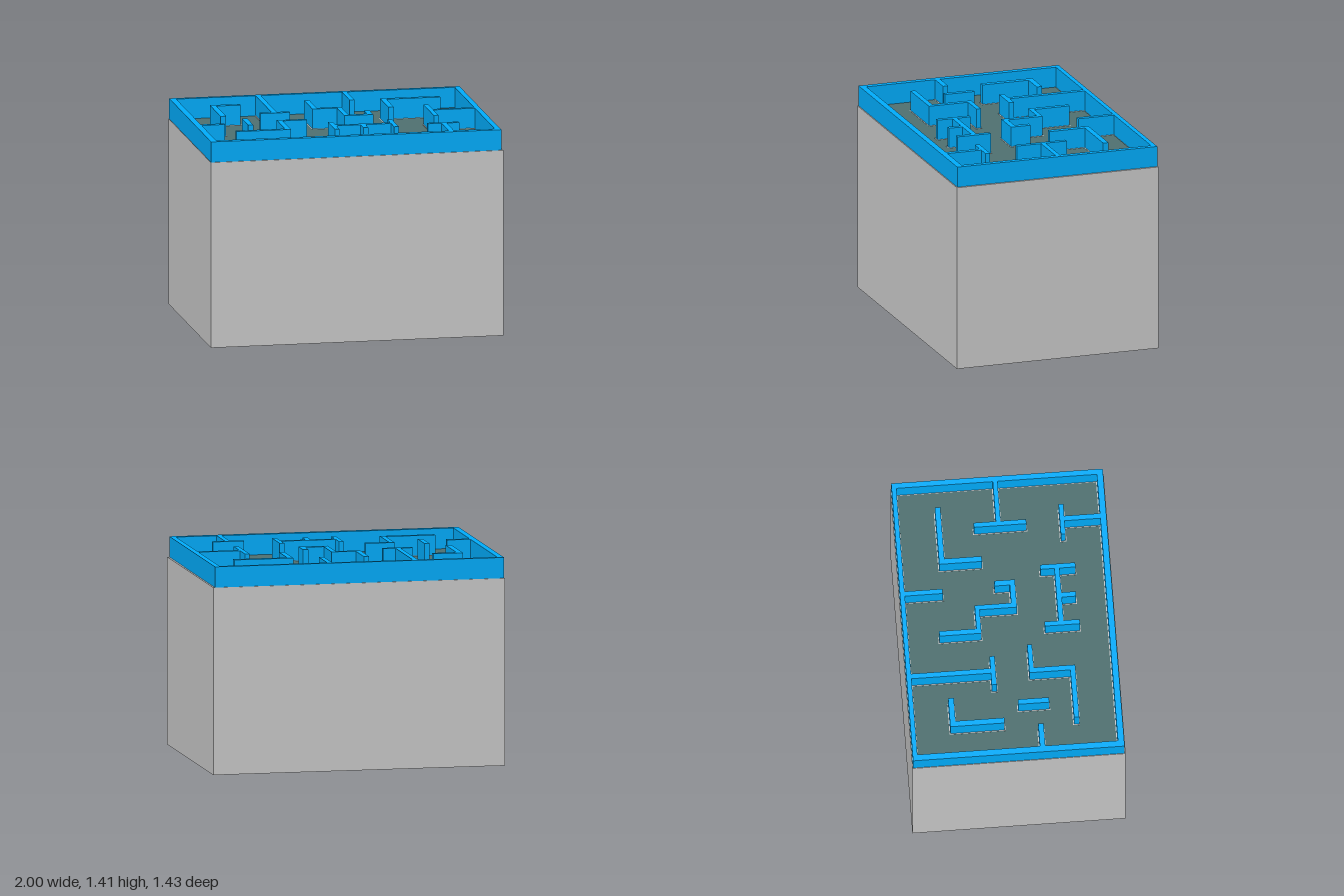
import * as THREE from 'three';

const grey = new THREE.MeshStandardMaterial({ color: 0xcccccc });
const blue = new THREE.MeshStandardMaterial({ color: 0x00afff });
const slate = new THREE.MeshStandardMaterial({ color: 0x507272 });

const BODY_TOP = 1.27, WALL_TOP = 1.41, GAP = 0.006;

function addMesh(parent, name, geometry, material) {
  const mesh = new THREE.Mesh(geometry, material);
  mesh.name = name;
  parent.add(mesh);
}

// Block spanning x0..x1, z0..z1 and y0..y1
function block(x0, x1, z0, z1, y0, y1) {
  return new THREE.BoxGeometry(x1 - x0, y1 - y0, z1 - z0)
    .translate((x0 + x1) / 2, (y0 + y1) / 2, (z0 + z1) / 2);
}

// Counter-clockwise outline, so that the hole's sides face inward
function rectangle(path, [x0, x1, z0, z1]) {
  return path.moveTo(x0, -z1).lineTo(x1, -z1).lineTo(x1, -z0).lineTo(x0, -z0).closePath();
}

// Upright rectangular tube
function frame(outer, inner, y0, y1) {
  const shape = rectangle(new THREE.Shape(), outer);
  shape.holes.push(rectangle(new THREE.Path(), inner));
  return new THREE.ExtrudeGeometry(shape, { depth: y1 - y0, bevelEnabled: false })
    .rotateX(-Math.PI / 2).translate(0, y0, 0);
}

// Maze walls in plan: x0, x1, z0, z1
const walls = {
  backLeftHook: [[-0.773, -0.735, -0.445, -0.08], [-0.735, -0.57, -0.445, -0.407]],
  backLongTee: [[-0.412, -0.377, -0.68, -0.146], [-0.495, -0.292, -0.146, -0.112]],
  backStub: [[0.179, 0.212, -0.68, -0.425]],
  centreZigzag: [
    [-0.123, -0.088, -0.47, -0.219], [-0.123, 0.078, -0.219, -0.187],
    [0.045, 0.078, -0.187, 0.027], [0.045, 0.243, 0.027, 0.064], [0.206, 0.243, -0.075, 0.027],
  ],
  backRightHook: [[0.388, 0.425, -0.433, -0.146], [0.425, 0.794, -0.433, -0.396]],
  sideTee: [[0.634, 0.666, -0.182, 0.171], [0.666, 0.95, -0.032, 0]],
  sideStub: [[-0.955, -0.794, 0.144, 0.18]],
  freeWall: [[-0.647, -0.612, 0.021, 0.23]],
  frontZigzag: [
    [-0.428, -0.227, 0.112, 0.144], [-0.428, -0.393, 0.144, 0.422], [-0.767, -0.428, 0.387, 0.422],
  ],
  frontFork: [
    [-0.104, -0.072, 0.24, 0.476], [0.302, 0.334, 0.24, 0.476],
    [-0.072, 0.302, 0.334, 0.369], [0.094, 0.128, 0.369, 0.465],
  ],
  frontTee: [[0.543, 0.757, 0.396, 0.428], [0.636, 0.671, 0.428, 0.67]],
};

export function createModel() {
  const model = new THREE.Group();
  model.name = 'mazeBox';

  // Hollow base, open underneath, with a lid
  addMesh(model, 'baseSides',
    frame([-1, 1, -0.717, 0.717], [-0.955, 0.955, -0.672, 0.672], 0, BODY_TOP), grey);
  addMesh(model, 'baseLid', block(-0.955, 0.955, -0.672, 0.672, BODY_TOP - 0.04, BODY_TOP), grey);

  // Maze floor, a hair short of the surrounding rim
  addMesh(model, 'mazeFloor',
    block(-0.955 + GAP, 0.95 - GAP, -0.68 + GAP, 0.668 - GAP, BODY_TOP, BODY_TOP + 0.003), slate);
  addMesh(model, 'mazeRim',
    frame([-0.997, 0.987, -0.712, 0.71], [-0.955, 0.95, -0.68, 0.668], BODY_TOP, WALL_TOP), blue);

  // Inner maze walls, each with a narrow pale border at its foot
  for (const [name, parts] of Object.entries(walls)) {
    const group = new THREE.Group();
    group.name = name;
    for (const [x0, x1, z0, z1] of parts) {
      addMesh(group, 'mazeWall', block(x0, x1, z0, z1, BODY_TOP, WALL_TOP), blue);
      addMesh(group, 'wallBorder',
        block(x0 - GAP, x1 + GAP, z0 - GAP, z1 + GAP, BODY_TOP, BODY_TOP + 0.005), grey);
    }
    model.add(group);
  }
  return model;
}
